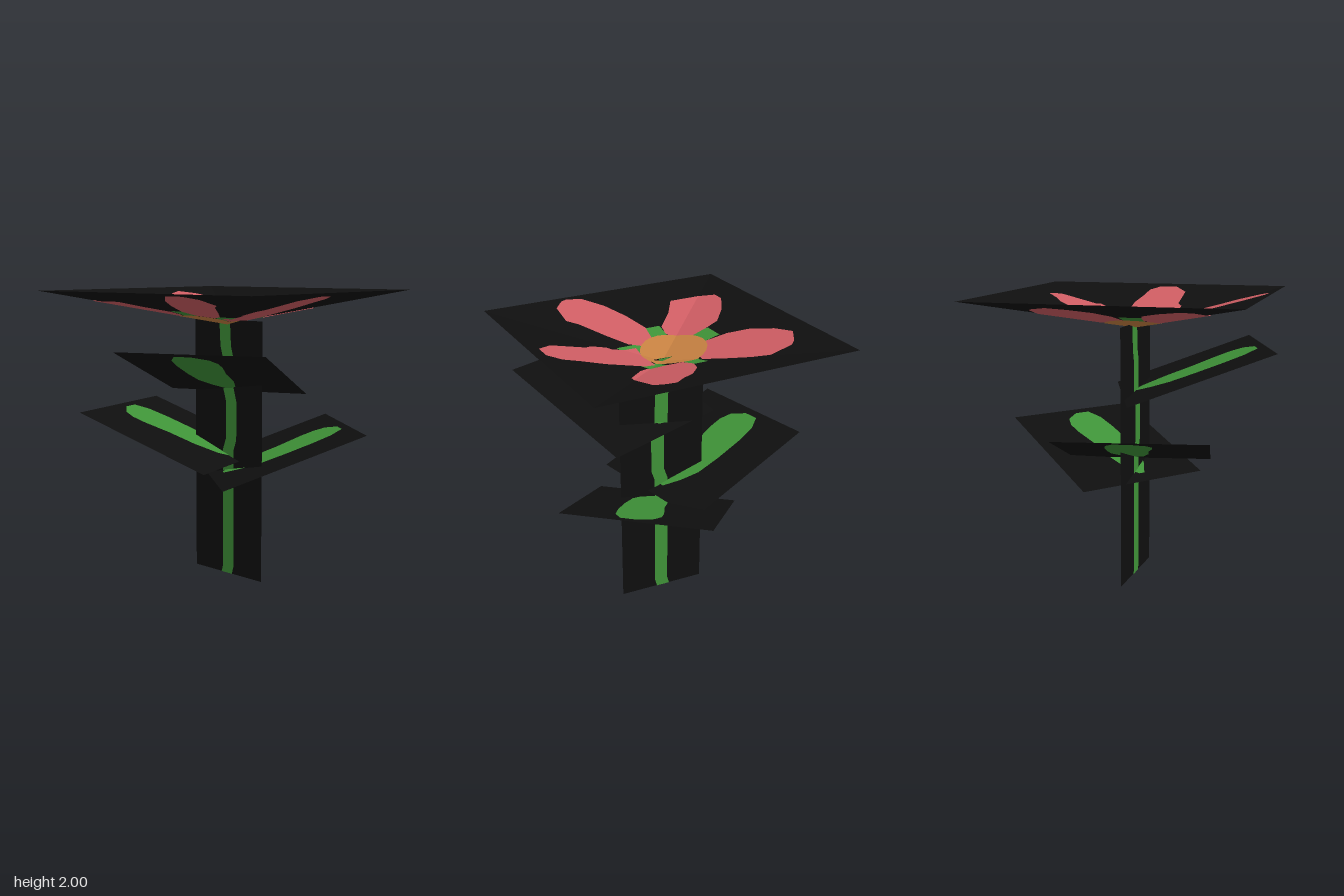
import * as THREE from 'three';

const mat = (name, color) => {
  const m = new THREE.MeshStandardMaterial({ color, side: THREE.DoubleSide });
  m.name = name;
  return m;
};

const LIFT = 0.003; // painted faces sit this far off their card

// Fill a 2D outline and move every vertex by a rule (a, b) -> Vector3
function face(name, outline, material, place) {
  const geo = new THREE.ShapeGeometry(new THREE.Shape(outline.map(([a, b]) => new THREE.Vector2(a, b))));
  const p = geo.attributes.position;
  for (let i = 0; i < p.count; i++) {
    const v = place(p.getX(i), p.getY(i));
    p.setXYZ(i, v.x, v.y, v.z);
  }
  geo.computeVertexNormals();
  const mesh = new THREE.Mesh(geo, material);
  mesh.name = name;
  return mesh;
}

// Flat card with a painted outline on both sides; a runs along side, b along up
function card(name, origin, side, up, halfWidth, outline, paint, black) {
  const o = new THREE.Vector3(...origin), s = new THREE.Vector3(...side), u = new THREE.Vector3(...up);
  const n = s.clone().cross(u).normalize();
  const at = lift => (a, b) => o.clone().addScaledVector(s, a).addScaledVector(u, b).addScaledVector(n, lift);
  const g = new THREE.Group();
  g.name = name;
  const w = halfWidth;
  g.add(face(name + 'Card', [[-w, 0], [w, 0], [w, 1], [-w, 1]], black, at(0)));
  for (const d of [-LIFT, LIFT]) g.add(face(name + 'Paint', outline, paint, at(d)));
  return g;
}

// Keep the part of a polygon on the positive side of a line through the centre
function clip(poly, nx, nz) {
  const out = [];
  poly.forEach((p, i) => {
    const q = poly[(i + 1) % poly.length];
    const dp = p[0] * nx + p[1] * nz, dq = q[0] * nx + q[1] * nz;
    if (dp >= 0) out.push(p);
    if (dp * dq < 0) {
      const t = dp / (dp - dq);
      out.push([p[0] + (q[0] - p[0]) * t, p[1] + (q[1] - p[1]) * t]);
    }
  });
  return out;
}

export function createModel() {
  const black = mat('black', 0x0f0f0f);
  const green = mat('leaf green', 0x3f9338);
  const pink = mat('petal pink', 0xcf5d63);
  const orange = mat('centre orange', 0xc78141);
  const model = new THREE.Group();
  model.name = 'flower';

  // Stem card with a wavering green stripe
  const stripe = [[0.055, 0], [0.07, 0.03], [0.07, 0.5], [0.095, 0.54], [0.095, 0.69], [0.07, 0.74],
    [0.065, 0.86], [0.045, 0.9], [0.035, 1]];
  const stemAt = z => (0.015 - z) / 0.62;
  const stemOutline = [
    ...stripe.map(([z, b]) => [stemAt(z), b]),
    ...stripe.slice().reverse().map(([z, b]) => [stemAt(z - 0.098), b]),
  ];
  model.add(card('stem', [0.0055, 0, 0.015], [0.037, 0, -0.62], [0, 1.8, 0], 0.5, stemOutline, green, black));

  // Three leaf cards rising outwards: base middle, direction to the right, direction to the tip
  const leafOutline = [[0.02, 0.09], [0.06, 0.09], [0.13, 0.2], [0.18, 0.32], [0.19, 0.5], [0.185, 0.7],
    [0.165, 0.85], [0.11, 0.945], [0.0, 0.945], [-0.1, 0.88], [-0.13, 0.8], [-0.126, 0.7],
    [-0.09, 0.52], [-0.075, 0.32], [-0.03, 0.15]];
  [
    ['lowerLeaf', [-0.0825, 0.71, -0.075], [-0.64, 0, 0.75], [0.745, 0.34, 0.63]],
    ['middleLeaf', [-0.005, 0.825, 0.12], [0.97, 0, -0.185], [-0.185, 0.34, -0.965]],
    ['upperLeaf', [0.1075, 1.3, 0.0225], [-0.337, 0, -0.925], [-0.922, 0.34, 0.34]],
  ].forEach(([name, o, s, u]) => model.add(card(name, o, s, u, 0.5, leafOutline, green, black)));

  // Blossom: a shallow upside-down pyramid, each patch split along its four creases
  const cx = 0.007, cz = 0.01, half = 0.9, apex = 1.775, rise = 0.225;
  const blossom = new THREE.Group();
  blossom.name = 'blossom';
  const patch = (name, poly, material, lifts) => {
    const local = poly.map(([x, z]) => [x - cx, z - cz]);
    for (let k = 0; k < 4; k++) {
      const a = k * Math.PI / 2, q = Math.PI / 4;
      let part = clip(local, Math.cos(a + q), Math.sin(a + q));
      part = clip(part, Math.cos(a - q), Math.sin(a - q));
      if (part.length < 3) continue;
      for (const d of lifts) {
        blossom.add(face(name, part, material, (x, z) => new THREE.Vector3(
          x + cx, apex + d + rise * Math.max(Math.abs(x), Math.abs(z)) / half, z + cz)));
      }
    }
  };
  const both = d => [-d, d];
  const box = (x0, z0, x1, z1) => [[x0, z0], [x1, z0], [x1, z1], [x0, z1]];
  patch('blossomCard', box(cx - half, cz - half, cx + half, cz + half), black, [0]);

  // Green sepals peeping out between the petals
  [
    box(-0.155, -0.43, 0.0, -0.28), box(-0.375, -0.17, -0.22, -0.05), box(0.15, -0.17, 0.295, -0.06),
    [[-0.22, 0.06], [-0.1, 0.06], [-0.11, 0.15], [-0.16, 0.23], [-0.22, 0.23]],
    [[0.06, 0.06], [0.17, 0.06], [0.18, 0.2], [0.13, 0.235], [0.07, 0.17]],
  ].forEach(p => patch('sepal', p, green, both(0.003)));

  // Five petals
  [
    [[0, -0.31], [0.03, -0.47], [0.11, -0.61], [0.24, -0.71], [0.37, -0.765], [0.48, -0.7], [0.515, -0.66],
      [0.515, -0.5], [0.46, -0.39], [0.32, -0.26], [0.2, -0.18], [0.05, -0.2]],
    [[-0.635, -0.63], [-0.55, -0.72], [-0.46, -0.72], [-0.31, -0.635], [-0.18, -0.52], [-0.155, -0.42],
      [-0.14, -0.31], [-0.2, -0.2], [-0.28, -0.165], [-0.36, -0.18], [-0.5, -0.31], [-0.635, -0.4]],
    [[-0.86, 0.32], [-0.84, 0.21], [-0.71, 0.09], [-0.55, 0], [-0.38, -0.065], [-0.26, -0.05], [-0.19, 0.06],
      [-0.235, 0.14], [-0.37, 0.24], [-0.55, 0.36], [-0.61, 0.425], [-0.775, 0.425], [-0.845, 0.36]],
    [[-0.18, 0.11], [0.1, 0.11], [0.14, 0.2], [0.14, 0.48], [0.11, 0.64], [0.1, 0.75], [0.035, 0.83],
      [-0.09, 0.83], [-0.18, 0.72], [-0.185, 0.47], [-0.22, 0.42], [-0.215, 0.31], [-0.185, 0.29]],
    [[0.17, -0.05], [0.29, -0.065], [0.43, -0.01], [0.585, 0.11], [0.65, 0.21], [0.735, 0.3], [0.72, 0.36],
      [0.675, 0.425], [0.385, 0.425], [0.24, 0.29], [0.185, 0.21], [0.17, 0.08]],
  ].forEach(p => patch('petal', p, pink, both(0.005)));

  // Orange centre
  const disc = Array.from({ length: 24 }, (_, i) => {
    const a = i * Math.PI / 12;
    return [-0.04 + 0.225 * Math.cos(a), -0.1 + 0.225 * Math.sin(a)];
  });
  patch('flowerCentre', disc, orange, both(0.007));
  model.add(blossom);
  return model;
}
